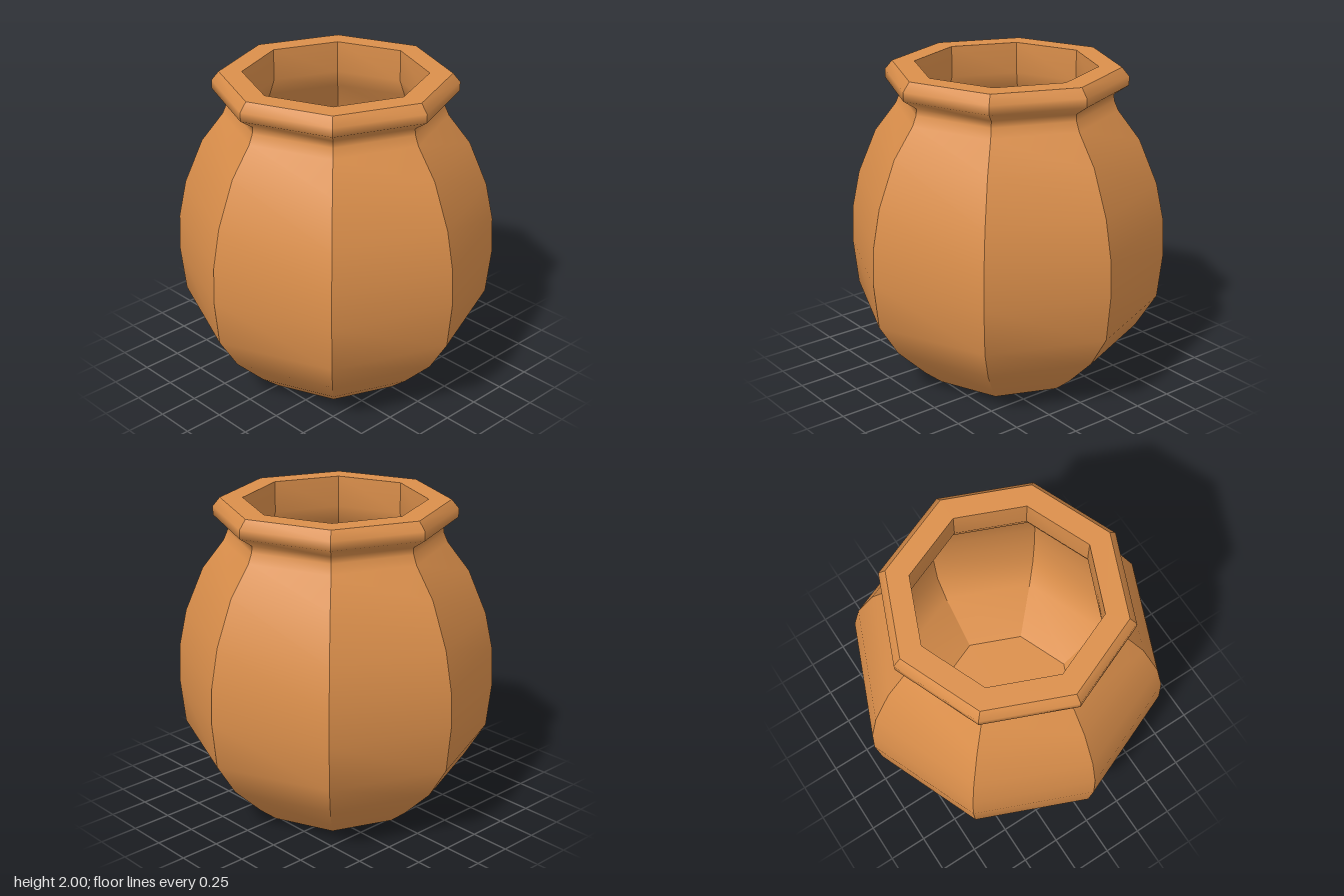
import * as THREE from 'three';
import { mergeGeometries } from 'three/addons/utils/BufferGeometryUtils.js';

const SIDES = 8;

// Eight flat panels, each smooth along its profile, with sharp edges between panels
function facetedLathe(profile) {
  const points = profile.map(([r, y]) => new THREE.Vector2(r, y));
  const step = (Math.PI * 2) / SIDES;
  const panels = [];
  for (let i = 0; i < SIDES; i++) {
    const panel = new THREE.LatheGeometry(points, 1, i * step, step);
    panel.computeVertexNormals();
    panels.push(panel);
  }
  return mergeGeometries(panels);
}

export function createModel() {
  const group = new THREE.Group();
  group.name = 'pot';
  const clay = new THREE.MeshStandardMaterial({ color: 0xdb8f4b, roughness: 0.9 });

  // Profiles as [radius, height]; running upward faces outward
  const parts = {
    base: [[0, 0], [0.52, 0]],
    outerWall: [
      [0.52, 0], [0.64, 0.1], [0.84, 0.3], [0.97, 0.51], [1, 0.8], [0.99, 1.03],
      [0.94, 1.27], [0.825, 1.55], [0.69, 1.73], [0.665, 1.79], [0.66, 1.83],
      [0.75, 1.89], [0.75, 1.945], [0.705, 2],
    ],
    rim: [[0.705, 2], [0.565, 2]],
    innerWall: [
      [0.565, 2], [0.565, 1.8], [0.61, 1.69], [0.74, 1.5], [0.85, 1.24],
      [0.89, 1.02], [0.9, 0.8], [0.87, 0.54], [0.77, 0.37], [0.48, 0.1],
    ],
    floor: [[0.48, 0.1], [0, 0.1]],
  };

  for (const [name, profile] of Object.entries(parts)) {
    const mesh = new THREE.Mesh(facetedLathe(profile), clay);
    mesh.name = name;
    group.add(mesh);
  }
  return group;
}
